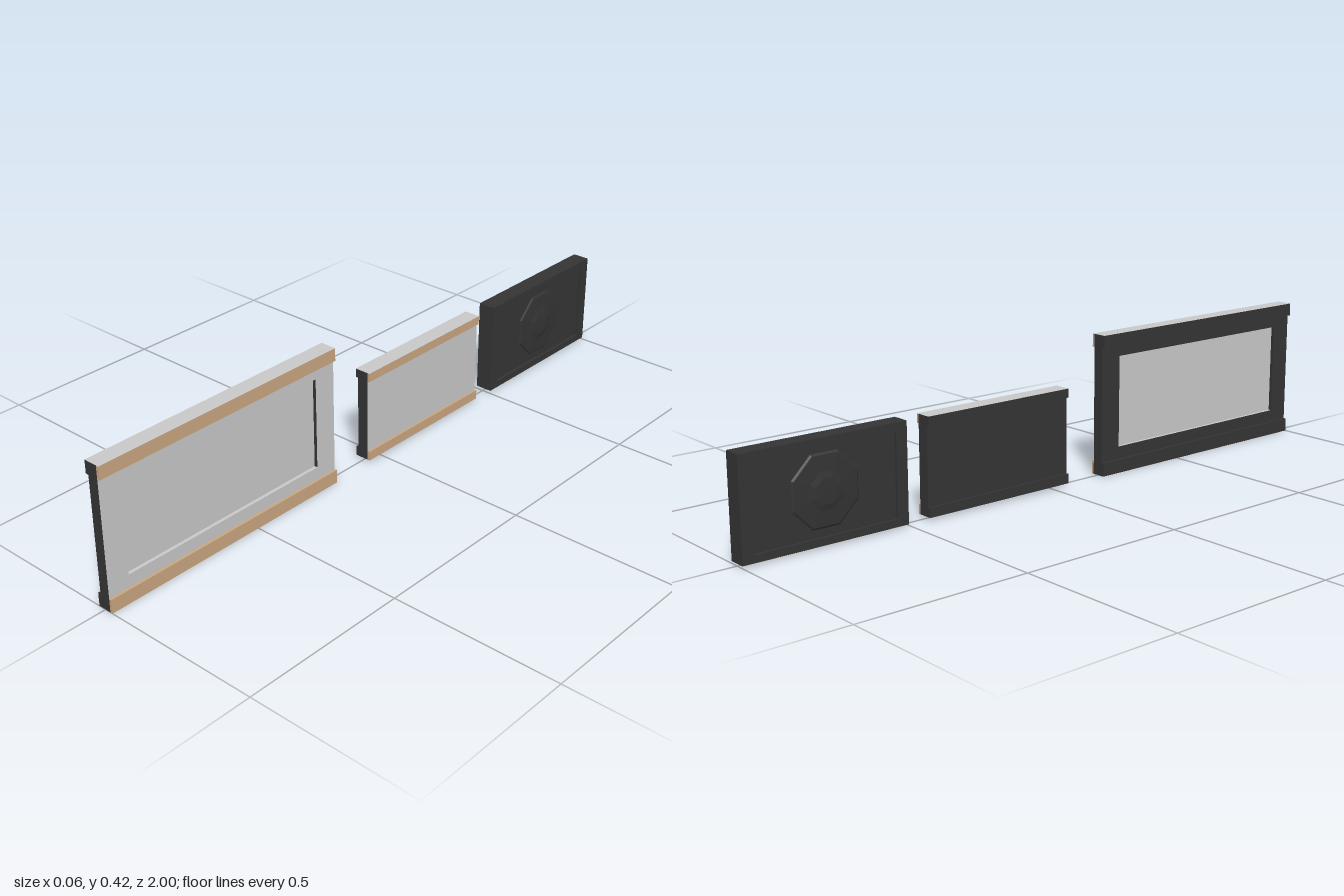
import * as THREE from 'three';

const grey = new THREE.MeshStandardMaterial({ color: 0xc8c8c8 });
grey.name = 'light grey';
const tan = new THREE.MeshStandardMaterial({ color: 0xc9a680 });
tan.name = 'tan';
const dark = new THREE.MeshStandardMaterial({ color: 0x343434 });
dark.name = 'charcoal';

// Box given by its limits; materials in the order +x, -x, +y, -y, +z, -z
function block(name, [x0, x1], [y0, y1], [z0, z1], materials) {
  const mesh = new THREE.Mesh(new THREE.BoxGeometry(x1 - x0, y1 - y0, z1 - z0), materials);
  mesh.position.set((x0 + x1) / 2, (y0 + y1) / 2, (z0 + z1) / 2);
  mesh.name = name;
  return mesh;
}

// Four bars around a rectangular opening
function frame(name, x, y, z, openY, openZ, materials) {
  const group = new THREE.Group();
  group.name = name;
  group.add(
    block('lowerBar', x, [y[0], openY[0]], z, materials),
    block('upperBar', x, [openY[1], y[1]], z, materials),
    block('rearBar', x, openY, [z[0], openZ[0]], materials),
    block('frontBar', x, openY, [openZ[1], z[1]], materials)
  );
  return group;
}

// Rail with a dark back, grey outer edge and tan facing
function rail(name, xBack, xFace, xFront, y, z, isTop) {
  const group = new THREE.Group();
  group.name = name;
  const edges = (inner) => (isTop ? [grey, inner] : [inner, grey]);
  group.add(
    block('railBack', [xBack, xFace], y, z, [dark, dark, ...edges(dark), dark, dark]),
    block('railFacing', [xFace, xFront], y, z, [tan, tan, ...edges(tan), tan, tan])
  );
  return group;
}

const panelColours = [grey, dark, grey, grey, dark, dark];

// Large panel with a glazed opening
function windowPanel() {
  const group = new THREE.Group();
  group.name = 'windowPanel';
  const z = [0.193, 1];
  const openY = [0.077, 0.348], openZ = [0.262, 0.935];
  group.add(
    rail('lowerRail', -0.023, 0.018, 0.026, [0, 0.04], z, false),
    rail('upperRail', -0.023, 0.018, 0.026, [0.379, 0.417], z, true),
    frame('windowFrame', [-0.014, 0.018], [0.04, 0.379], z, openY, openZ, panelColours),
    block('pane', [-0.005, 0.008], openY, openZ, grey)
  );
  return group;
}

// Small solid panel
function solidPanel() {
  const group = new THREE.Group();
  group.name = 'solidPanel';
  const z = [-0.435, 0.055];
  group.add(
    rail('lowerRail', -0.025, 0.018, 0.025, [0.008, 0.036], z, false),
    rail('upperRail', -0.025, 0.018, 0.025, [0.259, 0.285], z, true),
    block('board', [-0.017, 0.018], [0.036, 0.259], z, panelColours)
  );
  return group;
}

// Dark panel, recessed on both sides, with eight-sided bosses
function bossPanel() {
  const group = new THREE.Group();
  group.name = 'bossPanel';
  const y = [0.006, 0.287], z = [-1, -0.505];
  const openY = [0.027, 0.266], openZ = [-0.966, -0.539];
  group.add(
    frame('border', [-0.026, 0.026], y, z, openY, openZ, dark),
    block('recessedBoard', [-0.018, 0.018], openY, openZ, dark)
  );
  const profile = [[0.108, 0.017], [0.101, 0.022], [0.054, 0.026], [0.036, 0.03], [0, 0.031]]
    .map(([r, h]) => new THREE.Vector2(r, h));
  const bossGeometry = new THREE.LatheGeometry(profile, 8, Math.PI / 8).toNonIndexed();
  bossGeometry.computeVertexNormals();
  for (const side of [1, -1]) {
    const boss = new THREE.Mesh(bossGeometry, dark);
    boss.name = side > 0 ? 'leftBoss' : 'rightBoss';
    boss.rotation.z = -side * Math.PI / 2;
    boss.position.set(0, 0.148, -0.753);
    group.add(boss);
  }
  return group;
}

export function createModel() {
  const model = new THREE.Group();
  model.name = 'panelSet';
  model.add(windowPanel(), solidPanel(), bossPanel());
  return model;
}
